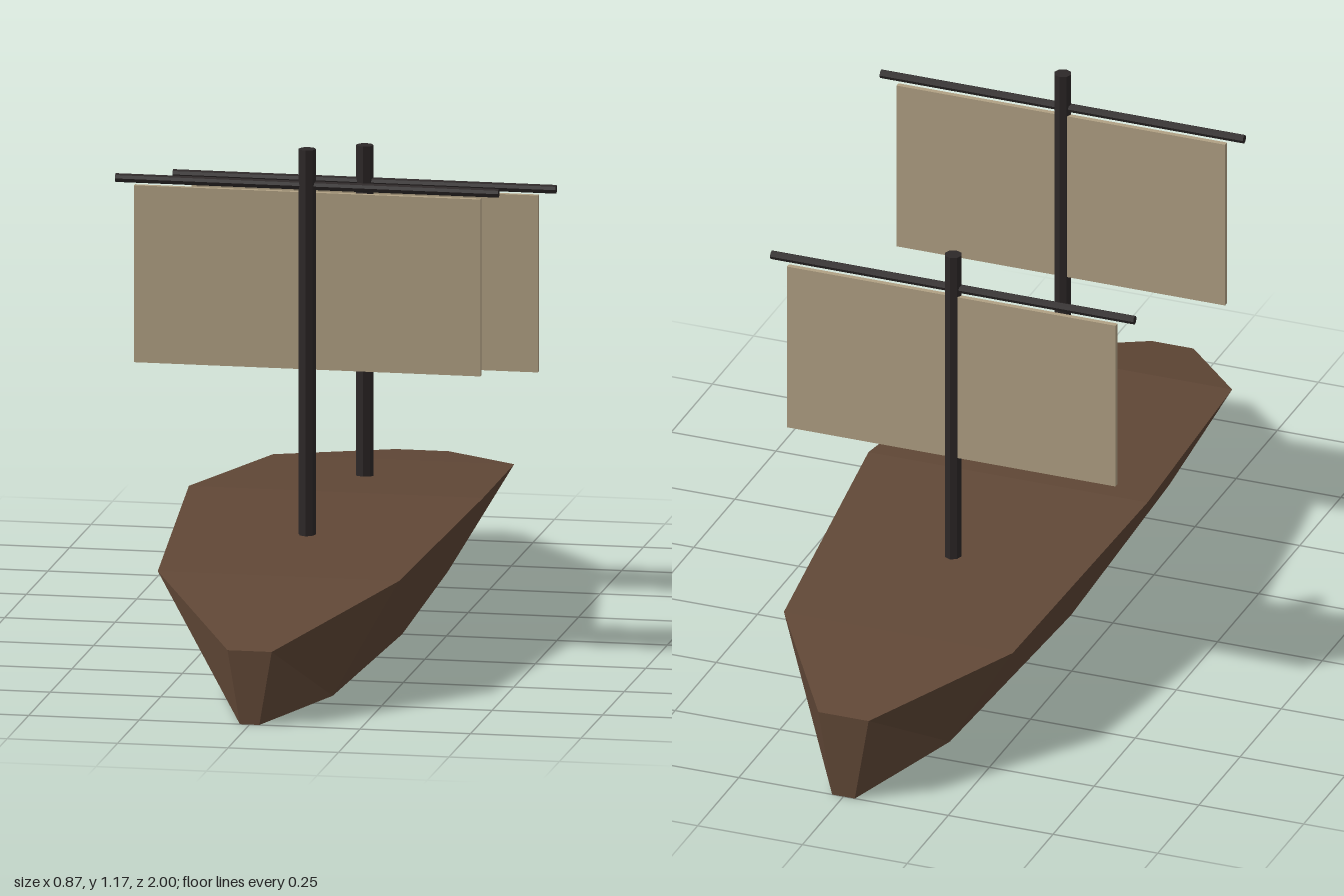
import * as THREE from 'three';

const flat = (name, color) => {
  const m = new THREE.MeshStandardMaterial({ color });
  m.name = name;
  m.flatShading = true;
  return m;
};

// Hull from trapezoid cross-sections: [z, deck half-width, keel half-width, deck height]
function hullGeometry() {
  const sections = [
    [-1, 0.06, 0.027, 0.2],
    [-0.667, 0.273, 0.123, 0.25],
    [0, 0.333, 0.15, 0.317],
    [0.667, 0.273, 0.123, 0.267],
    [1, 0.05, 0.022, 0.167],
  ];
  const pos = [], idx = [];
  for (const [z, t, b, h] of sections) pos.push(b, 0, z, t, h, z, -t, h, z, -b, 0, z);
  const quad = (a, b, c, d) => idx.push(a, b, c, a, c, d);
  const last = (sections.length - 1) * 4;
  for (let i = 0; i < last; i += 4) {
    for (let j = 0; j < 4; j++) {
      const k = (j + 1) % 4;
      quad(i + j, i + k, i + 4 + k, i + 4 + j);
    }
  }
  quad(3, 2, 1, 0);
  quad(last, last + 1, last + 2, last + 3);
  const g = new THREE.BufferGeometry();
  g.setAttribute('position', new THREE.Float32BufferAttribute(pos, 3));
  g.setIndex(idx);
  const out = g.toNonIndexed();
  out.computeVertexNormals();
  return out;
}

export function createModel() {
  const hullWood = flat('hull wood', 0x604736);
  const darkWood = flat('dark spar wood', 0x2d2828);
  const canvas = flat('sail canvas', 0xb0a083);

  const ship = new THREE.Group();
  ship.name = 'sailingShip';
  const add = (parent, name, geometry, material, x, y, z) => {
    const mesh = new THREE.Mesh(geometry, material);
    mesh.name = name;
    mesh.position.set(x, y, z);
    parent.add(mesh);
    return mesh;
  };

  add(ship, 'hull', hullGeometry(), hullWood, 0, 0, 0);

  // Each rig: a mast, one yard and a square sail hung just behind the mast centre
  const rig = (name, z, foot, top) => {
    const g = new THREE.Group();
    g.name = name;
    g.position.z = z;
    const h = top - foot;
    add(g, 'mast', new THREE.CylinderGeometry(0.02, 0.02, h, 8), darkWood, 0, foot + h / 2, 0);
    const yard = add(g, 'yard', new THREE.CylinderGeometry(0.01, 0.01, 0.867, 8), darkWood, 0, top - 0.083, 0);
    yard.rotation.z = Math.PI / 2;
    add(g, 'sail', new THREE.BoxGeometry(0.784, 0.402, 0.012), canvas, 0, top - 0.3, -0.006);
    ship.add(g);
  };
  rig('foreRig', 0.333, 0.287, 1.167);
  rig('aftRig', -0.333, 0.278, 1.035);

  return ship;
}
